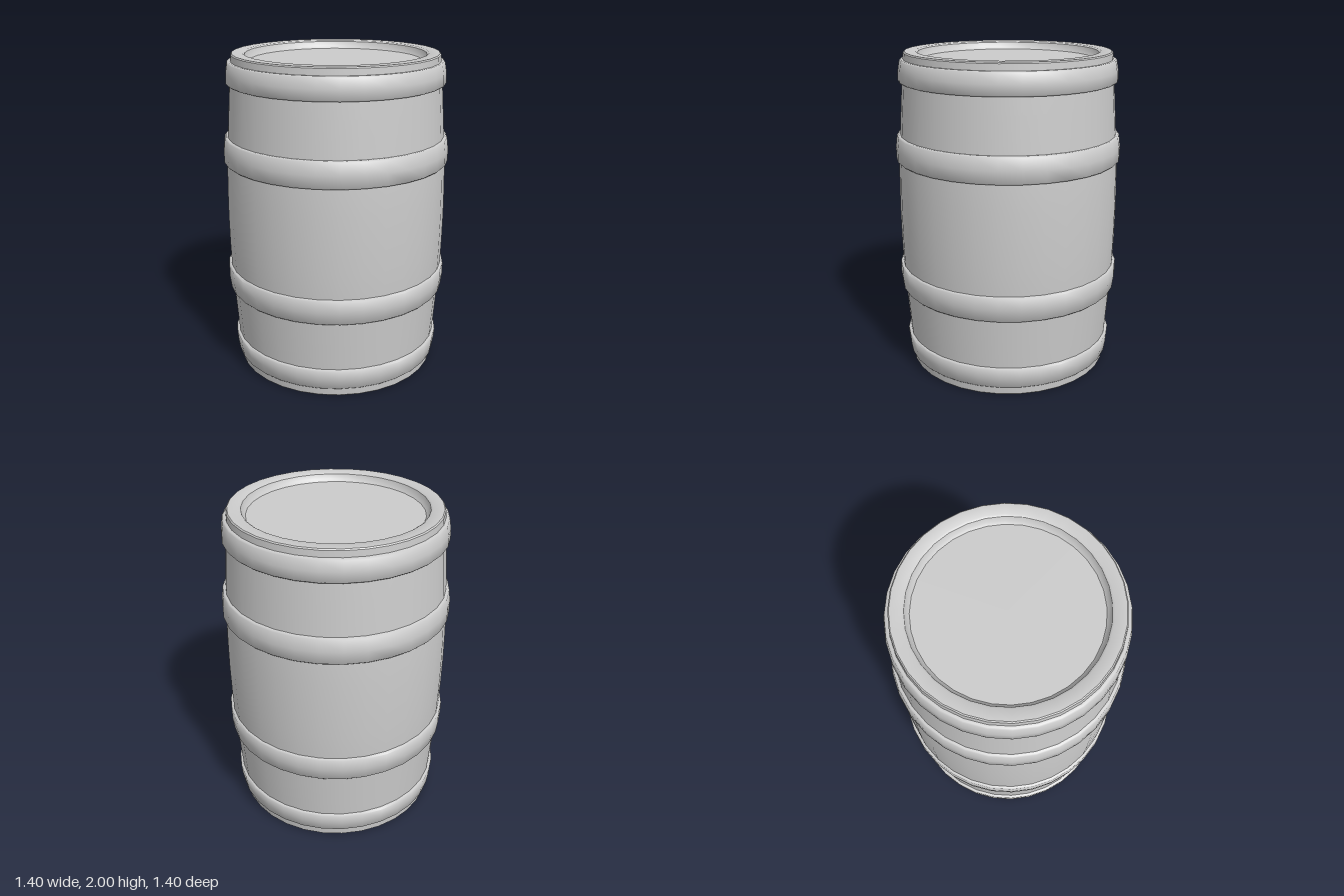
import * as THREE from 'three';
import { toCreasedNormals } from 'three/addons/utils/BufferGeometryUtils.js';

const SIDES = 32;

// Revolve a [radius, height] profile listed from bottom to top on the outside
function turned(name, profile, material, crease = 0.6) {
  const points = profile.map(([r, y]) => new THREE.Vector2(r, y));
  const geometry = toCreasedNormals(new THREE.LatheGeometry(points, SIDES), crease);
  const mesh = new THREE.Mesh(geometry, material);
  mesh.name = name;
  return mesh;
}

export function createModel() {
  const barrel = new THREE.Group();
  barrel.name = 'barrel';
  const material = new THREE.MeshStandardMaterial({ color: 0xcccccc });

  // Body: bulging wall, rounded rims and recessed heads, mirrored about mid height
  const lowerHalf = [
    [0, 0.05], [0.525, 0.05], [0.54, 0.035], [0.55, 0.008], [0.562, 0], [0.628, 0], [0.635, 0.007],
    [0.644, 0.12], [0.656, 0.28], [0.67, 0.48], [0.682, 0.65], [0.687, 0.82],
  ];
  const upperHalf = lowerHalf.map(([r, y]) => [r, 2 - y]).reverse();
  barrel.add(turned('body', [...lowerHalf, [0.689, 1], ...upperHalf], material));

  // Hoops: bottom height, top height, bottom radius, middle radius, top radius
  const hoops = [
    ['bottomHoop', 0.055, 0.19, 0.653, 0.663, 0.668],
    ['lowerHoop', 0.508, 0.668, 0.691, 0.7, 0.7],
    ['upperHoop', 1.34, 1.5, 0.7, 0.7, 0.691],
    ['topHoop', 1.82, 1.955, 0.672, 0.67, 0.66],
  ];
  for (const [name, y0, y1, r0, rm, r1] of hoops) {
    const bevel = 0.008;
    barrel.add(turned(name, [
      [0.62, y0], [r0 - bevel, y0], [r0, y0 + bevel],
      [rm, (y0 + y1) / 2],
      [r1, y1 - bevel], [r1 - bevel, y1], [0.62, y1],
    ], material, 0.9));
  }
  return barrel;
}
